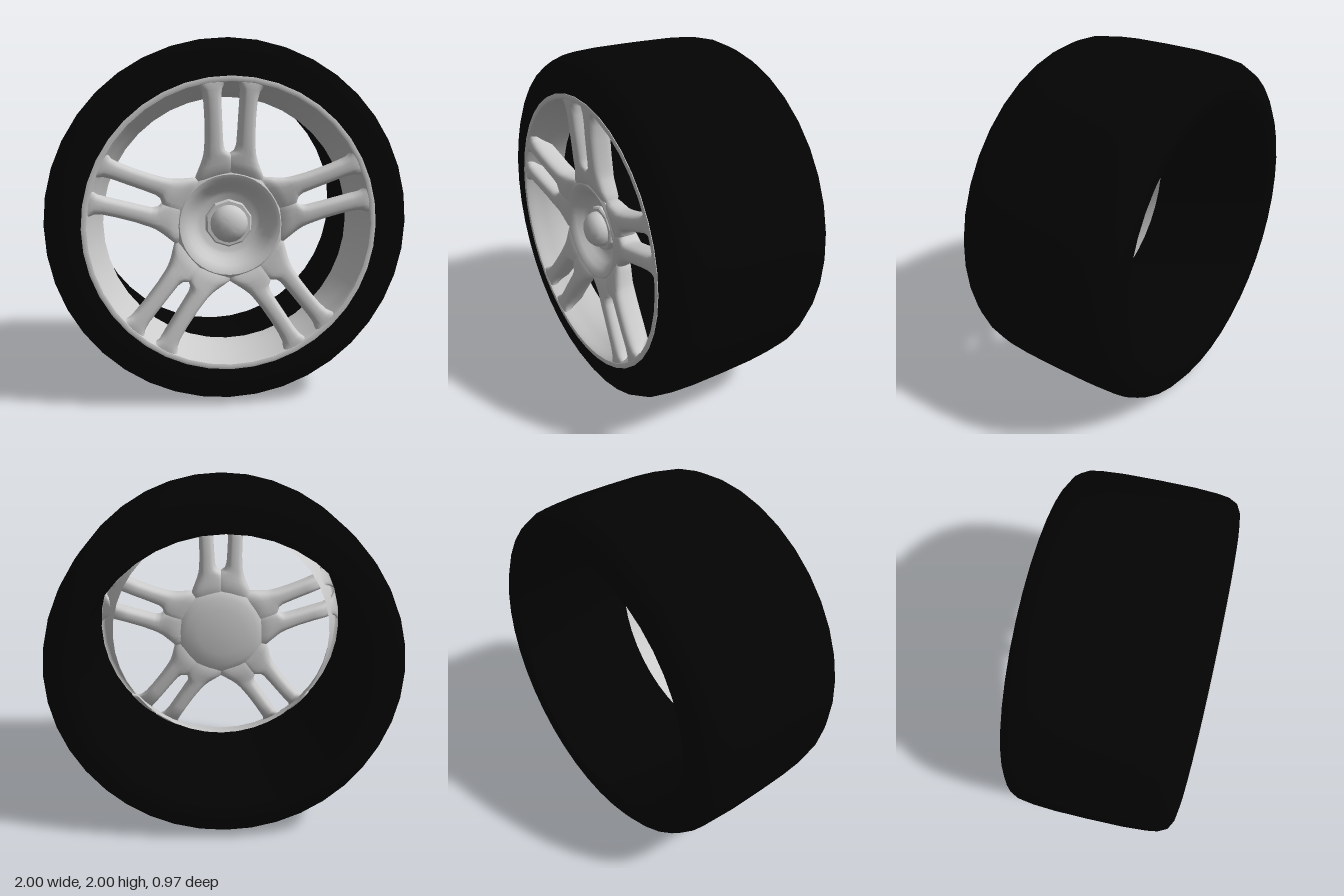
import * as THREE from 'three';
import { toCreasedNormals } from 'three/addons/utils/BufferGeometryUtils.js';

const grey = new THREE.MeshStandardMaterial({ color: 0xcccccc });
const greyOpen = new THREE.MeshStandardMaterial({ color: 0xcccccc, side: THREE.DoubleSide });
const rubber = new THREE.MeshStandardMaterial({ color: 0x030303 });

// Lathe around the z axle; profile is [radius, z]
function turned(profile, segments, crease = 0.7) {
  const points = profile.map(([r, z]) => new THREE.Vector2(r, z));
  const geometry = new THREE.LatheGeometry(points, segments).rotateX(Math.PI / 2);
  return toCreasedNormals(geometry, crease);
}

// Spoke sections: radius, slot-side edge, window-side edge, front z, back z
const spokeRows = [
  [0.245, -0.045, 0.165, 0.405, 0.330],
  [0.270, -0.045, 0.180, 0.424, 0.322],
  [0.305, -0.045, 0.190, 0.440, 0.320],
  [0.335, -0.042, 0.170, 0.446, 0.322],
  [0.365, -0.025, 0.153, 0.451, 0.325],
  [0.385, 0.004, 0.145, 0.454, 0.327],
  [0.400, 0.025, 0.140, 0.456, 0.328],
  [0.430, 0.036, 0.136, 0.460, 0.330],
  [0.500, 0.041, 0.133, 0.466, 0.335],
  [0.600, 0.046, 0.136, 0.474, 0.342],
  [0.675, 0.050, 0.142, 0.479, 0.350],
  [0.720, 0.048, 0.152, 0.482, 0.395],
  [0.747, 0.036, 0.170, 0.483, 0.430],
  [0.770, 0.010, 0.205, 0.480, 0.445],
];

// Rounded spoke along +x, lofted through the sections; side mirrors it across y = 0
function spokeGeometry(side) {
  const n = 24, positions = [], indices = [];
  const round = (t) => Math.sign(t) * Math.abs(t) ** 0.7;
  spokeRows.forEach(([r, inner, outer, front, back], i) => {
    for (let j = 0; j < n; j++) {
      const angle = side * j / n * Math.PI * 2;
      const v = (inner + outer) / 2 + (outer - inner) / 2 * round(Math.cos(angle));
      const z = (front + back) / 2 + (front - back) / 2 * round(Math.sin(angle));
      positions.push(Math.sqrt(r * r - v * v), side * v, z);
      if (i === 0) continue;
      const a = (i - 1) * n + j, b = (i - 1) * n + (j + 1) % n;
      indices.push(a, b, a + n, b, b + n, a + n);
    }
  });
  const geometry = new THREE.BufferGeometry();
  geometry.setAttribute('position', new THREE.Float32BufferAttribute(positions, 3));
  geometry.setIndex(indices);
  geometry.computeVertexNormals();
  return geometry;
}

export function createModel() {
  const group = new THREE.Group();
  const add = (name, geometry, material = grey) => {
    const mesh = new THREE.Mesh(geometry, material);
    mesh.name = name;
    mesh.position.y = 1;
    group.add(mesh);
    return mesh;
  };

  // Tyre: hollow, with rounded shoulders and an open back
  add('tyre', turned([
    [0.775, 0.46], [0.775, -0.46], [0.79, -0.48], [0.85, -0.485], [0.91, -0.475], [0.955, -0.445],
    [0.98, -0.395], [0.99, -0.33], [0.998, -0.2], [1, 0], [0.998, 0.2], [0.99, 0.33],
    [0.98, 0.395], [0.955, 0.445], [0.91, 0.47], [0.85, 0.48], [0.78, 0.48], [0.775, 0.46],
  ], 40), rubber);

  // Rim: broad rounded lip and short tapering barrel
  add('rim', turned([
    [0.788, 0.46], [0.784, 0.483], [0.77, 0.487], [0.757, 0.483], [0.748, 0.468],
    [0.742, 0.44], [0.718, 0.39], [0.695, 0.32], [0.68, 0.255],
  ], 40), greyOpen);

  // Five pairs of spokes
  const halves = [1, -1].map(spokeGeometry);
  for (let i = 0; i < 5; i++) {
    halves.forEach((geometry) => {
      add('spoke', geometry).rotation.z = Math.PI / 2 + i * Math.PI * 0.4;
    });
  }

  // Dished hub whose shoulder runs into the spokes, with a closed back
  add('hub', turned([
    [0, 0.295], [0.15, 0.3], [0.22, 0.312], [0.27, 0.33], [0.295, 0.36], [0.298, 0.395],
    [0.29, 0.42], [0.272, 0.43], [0.252, 0.424], [0.228, 0.402], [0.2, 0.366],
    [0.175, 0.342], [0.155, 0.332], [0, 0.33],
  ], 40));

  // Axle nut and domed cap
  add('axleNut', turned([[0.13, 0.32], [0.13, 0.36], [0.122, 0.368], [0, 0.37]], 10, 0.4));
  add('hubCap', turned([
    [0.102, 0.36], [0.102, 0.385], [0.092, 0.412], [0.07, 0.435], [0.037, 0.448], [0, 0.452],
  ], 20));

  return group;
}
